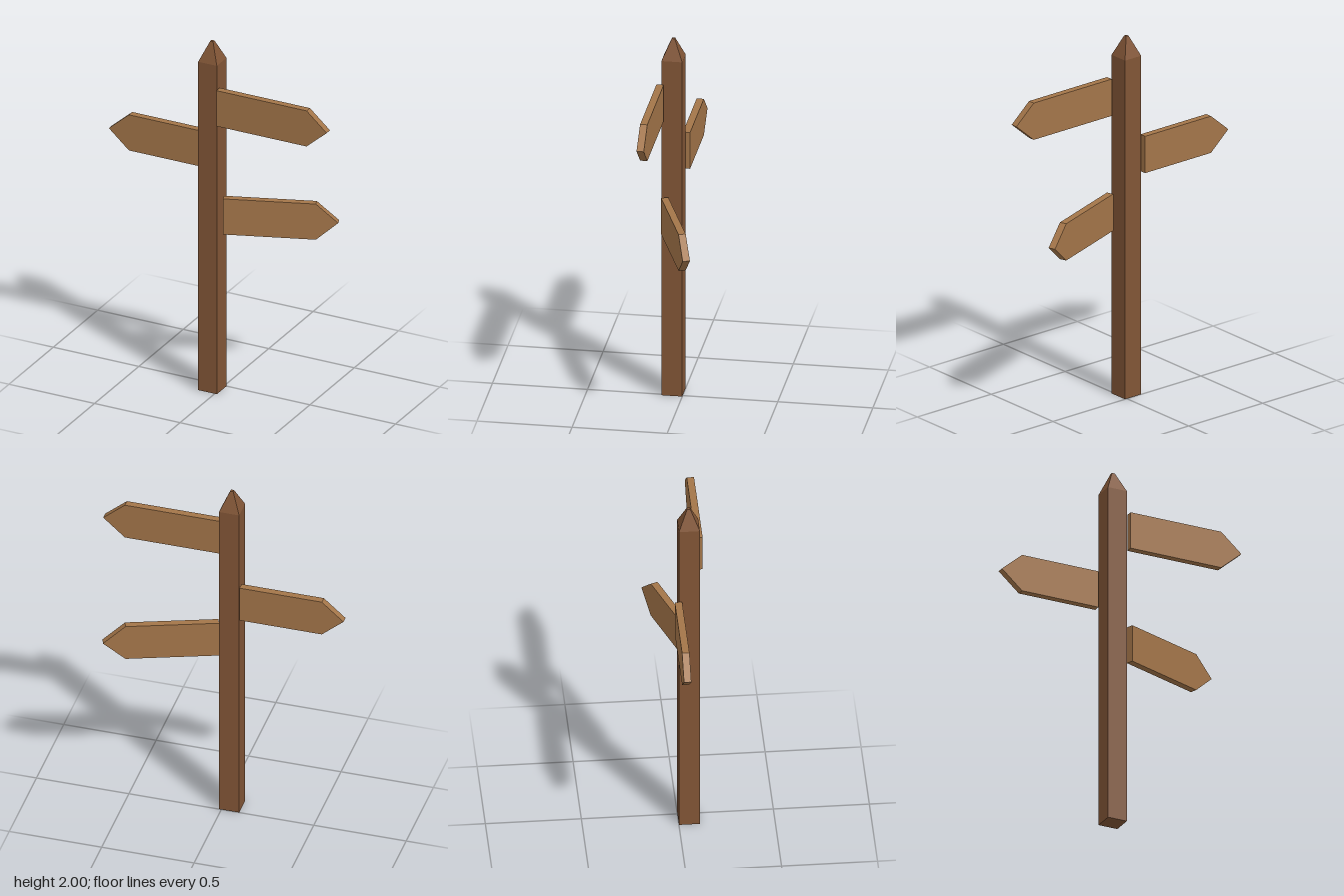
import * as THREE from 'three';

const postWood = new THREE.MeshStandardMaterial({ color: 0x815536 });
postWood.name = 'dark post wood';
const boardWood = new THREE.MeshStandardMaterial({ color: 0xa37549 });
boardWood.name = 'light board wood';

const POST_X = -0.042, POST_Z = 0.055, POST_WIDTH = 0.109, SHOULDER_Y = 1.89;
const BOARD_HEIGHT = 0.205, BOARD_THICKNESS = 0.038, POINT_LENGTH = 0.117;

// Arrow board running along +x from its square end, centred on y and z
function makeBoard(name, length, x, y, z, turn) {
  const h = BOARD_HEIGHT / 2, shoulder = length - POINT_LENGTH;
  const outline = new THREE.Shape([
    new THREE.Vector2(0, -h),
    new THREE.Vector2(shoulder, -h),
    new THREE.Vector2(length, 0),
    new THREE.Vector2(shoulder, h),
    new THREE.Vector2(0, h),
  ]);
  const geometry = new THREE.ExtrudeGeometry(outline, { depth: BOARD_THICKNESS, bevelEnabled: false });
  geometry.translate(0, 0, -BOARD_THICKNESS / 2);
  const board = new THREE.Mesh(geometry, boardWood);
  board.name = name;
  board.position.set(x, y, z);
  board.rotation.y = turn;
  return board;
}

export function createModel() {
  const signpost = new THREE.Group();
  signpost.name = 'signpost';

  // Square post
  const post = new THREE.Mesh(new THREE.BoxGeometry(POST_WIDTH, SHOULDER_Y, POST_WIDTH), postWood);
  post.name = 'post';
  post.position.set(POST_X, SHOULDER_Y / 2, POST_Z);
  signpost.add(post);

  // Tapered tip with a tiny flat top
  const tipHeight = 2 - SHOULDER_Y;
  const tipGeometry = new THREE.CylinderGeometry(0.008 * Math.SQRT2, POST_WIDTH / Math.SQRT2, tipHeight, 4, 1)
    .rotateY(Math.PI / 4).toNonIndexed();
  tipGeometry.computeVertexNormals();
  const tip = new THREE.Mesh(tipGeometry, postWood);
  tip.name = 'postTip';
  tip.position.set(POST_X, SHOULDER_Y + tipHeight / 2, POST_Z);
  signpost.add(tip);

  // Three direction boards
  signpost.add(
    makeBoard('upperBoard', 0.645, 0.022, 1.658, 0.115, 0),
    makeBoard('middleBoard', 0.562, -0.105, 1.342, -0.003, Math.PI),
    makeBoard('lowerBoard', 0.603, 0.04, 1.028, 0.088, THREE.MathUtils.degToRad(20)),
  );
  return signpost;
}
